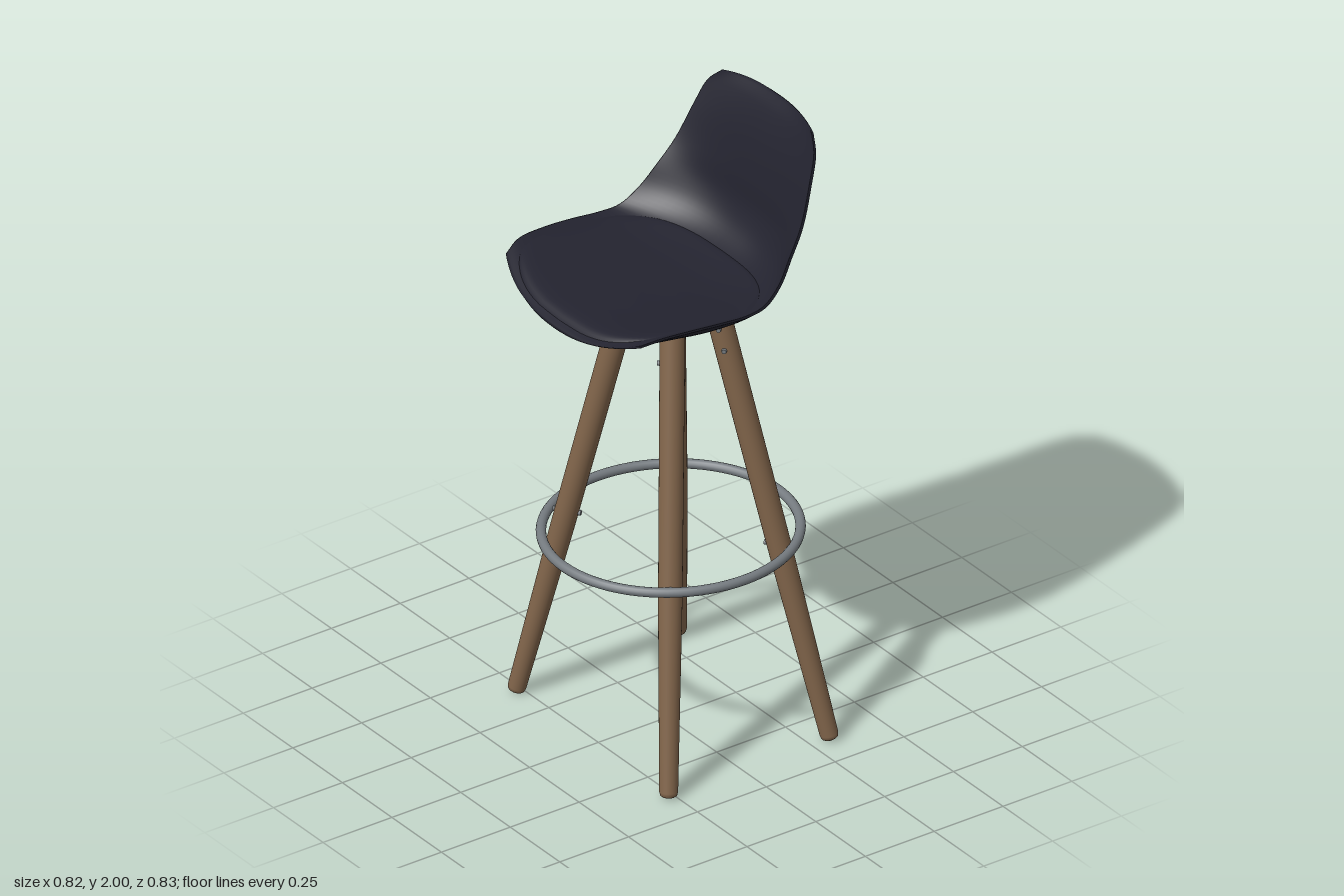
import * as THREE from 'three';

const fabric = new THREE.MeshStandardMaterial({ name: 'dark upholstery', color: 0x23232f });
const wood = new THREE.MeshStandardMaterial({ name: 'brown wood', color: 0x80644a });
const metal = new THREE.MeshStandardMaterial({ name: 'grey metal', color: 0x757b80 });

const V = (x, y, z) => new THREE.Vector3(x, y, z);
const curve = (pts) => new THREE.CatmullRomCurve3(pts.map((p) => V(...p)));

// Seat shell stations, from the front lip to the top of the backrest
const rim = curve([
  [0.335, 1.545, 0.345], [0.362, 1.563, 0.28], [0.374, 1.562, 0.18], [0.378, 1.553, 0.07],
  [0.375, 1.545, -0.02], [0.366, 1.552, -0.09], [0.354, 1.595, -0.15], [0.337, 1.66, -0.2],
  [0.318, 1.743, -0.257], [0.292, 1.86, -0.307], [0.268, 1.94, -0.34], [0.225, 1.985, -0.362],
]);
const innerSpine = curve([
  [0, 1.487, 0.413], [0, 1.505, 0.36], [0, 1.505, 0.22], [0, 1.5, 0.06],
  [0, 1.5, -0.08], [0, 1.52, -0.19], [0, 1.565, -0.255], [0, 1.635, -0.292],
  [0, 1.73, -0.305], [0, 1.86, -0.335], [0, 1.95, -0.37], [0, 1.998, -0.398],
]);
const outerSpine = curve([
  [0, 1.475, 0.413], [0, 1.44, 0.32], [0, 1.41, 0.18], [0, 1.387, 0.04],
  [0, 1.395, -0.08], [0, 1.447, -0.2], [0, 1.5, -0.29], [0, 1.57, -0.337],
  [0, 1.71, -0.343], [0, 1.85, -0.365], [0, 1.94, -0.392], [0, 1.99, -0.408],
]);

// u runs across (-1..1), t runs along the spine (0..1)
function inner(u, t) {
  const c = innerSpine.getPoint(t), e = rim.getPoint(t), k = Math.abs(u) ** 2.6;
  return V(e.x * u, c.y + (e.y - c.y) * k, c.z + (e.z - c.z) * k);
}
function outer(u, t) {
  const c = outerSpine.getPoint(t), e = rim.getPoint(t), k = Math.abs(u) ** 2.2;
  return V(e.x * u, c.y + (e.y - 0.008 - c.y) * k, c.z + (e.z - 0.008 - c.z) * k);
}

// Quad grid from fn(row, col), optionally closed in either direction
function gridGeometry(rows, cols, fn, wrapRows, wrapCols, extra = []) {
  const pos = [], idx = [...extra];
  for (let i = 0; i < rows; i++) for (let j = 0; j < cols; j++) pos.push(...fn(i, j).toArray());
  for (let i = 0; i < rows - (wrapRows ? 0 : 1); i++) {
    for (let j = 0; j < cols - (wrapCols ? 0 : 1); j++) {
      const i2 = (i + 1) % rows, j2 = (j + 1) % cols;
      const a = i * cols + j, b = i * cols + j2, c = i2 * cols + j, d = i2 * cols + j2;
      idx.push(a, b, c, b, d, c);
    }
  }
  const g = new THREE.BufferGeometry();
  g.setAttribute('position', new THREE.Float32BufferAttribute(pos, 3));
  g.setIndex(idx);
  g.computeVertexNormals();
  return g;
}

function shellGeometry() {
  const rows = 56, half = 33, cols = half * 2;
  const across = (j) => Math.sin((j / (half - 1) - 0.5) * Math.PI);
  // Strips closing the front lip and the top edge
  const caps = [], last = (rows - 1) * cols;
  for (let j = 0; j < half - 1; j++) {
    const a = j, b = j + 1, a2 = cols - 1 - j, b2 = cols - 2 - j;
    caps.push(a2, b2, b, a2, b, a);
    caps.push(last + a2, last + b, last + b2, last + a2, last + a, last + b);
  }
  return gridGeometry(rows, cols, (i, j) => {
    const t = i / (rows - 1);
    return j < half ? inner(across(j), t) : outer(across(cols - 1 - j), t);
  }, false, true, caps);
}

// Thin rounded-square pad that follows the inside of the shell
function padGeometry() {
  const spokes = 80, rings = 16;
  const soft = (v) => Math.sign(v) * Math.abs(v) ** 0.45;
  return gridGeometry(spokes, rings, (i, j) => {
    const a = (i / spokes) * Math.PI * 2;
    const r = 1 - (1 - j / (rings - 1)) ** 2;
    const p = inner(0.955 * r * soft(Math.cos(a)), (2.78 + 2.43 * r * soft(Math.sin(a))) / 11);
    p.y += 0.015 * (1 - r ** 12) - 0.003;
    return p;
  }, true, false);
}

function add(parent, name, geometry, material) {
  const m = new THREE.Mesh(geometry, material);
  m.name = name;
  parent.add(m);
  return m;
}

// Stand a y-aligned mesh at a point, pointing along a direction
function aim(mesh, at, dir) {
  mesh.position.copy(at);
  mesh.quaternion.setFromUnitVectors(V(0, 1, 0), dir.clone().normalize());
}

export function createModel() {
  const stool = new THREE.Group();
  stool.name = 'barStool';
  add(stool, 'seatShell', shellGeometry(), fabric);
  add(stool, 'seatPad', padGeometry(), fabric);

  // Footrest ring
  const ringY = 0.645, ringZ = -0.013;
  const ring = add(stool, 'footRing', new THREE.TorusGeometry(0.373, 0.015, 14, 80), metal);
  ring.rotation.x = Math.PI / 2;
  ring.scale.y = 1.04;
  ring.position.set(0, ringY, ringZ);

  // Tapered splayed legs with their fixings
  for (const sx of [1, -1]) {
    for (const sz of [1, -1]) {
      const leg = new THREE.Group();
      leg.name = (sz > 0 ? 'front' : 'back') + (sx > 0 ? 'Left' : 'Right') + 'Leg';
      stool.add(leg);
      const foot = V(sx * 0.385, 0.007, sz > 0 ? 0.272 : -0.315);
      const top = V(sx * 0.113, 1.415, sz > 0 ? 0.062 : -0.1);
      const dir = top.clone().sub(foot), L = dir.length();
      const profile = [[0, 0], [0.018, 0], [0.025, 0.005], [0.028, 0.016], [0.036, 0.6],
        [0.038, L - 0.012], [0.03, L], [0, L]].map((p) => new THREE.Vector2(...p));
      aim(add(leg, 'legPost', new THREE.LatheGeometry(profile, 28), wood), foot, dir);
      const axisAt = (y) => foot.clone().lerp(top, (y - foot.y) / (top.y - foot.y));

      // Pair of screws near the top
      const side = V(-sz, 0, sx).normalize();
      for (const y of [1.37, 1.3]) {
        const screw = add(leg, 'screw', new THREE.CylinderGeometry(0.007, 0.009, 0.012, 14), metal);
        aim(screw, axisAt(y).addScaledVector(side, 0.039), side);
      }

      // Pin joining the leg to the ring
      const from = axisAt(ringY), out = V(from.x, 0, from.z - ringZ).normalize();
      const pin = add(leg, 'ringPin', new THREE.CylinderGeometry(0.008, 0.008, 0.1, 12), metal);
      aim(pin, from.addScaledVector(out, 0.005), out);
    }
  }
  return stool;
}
